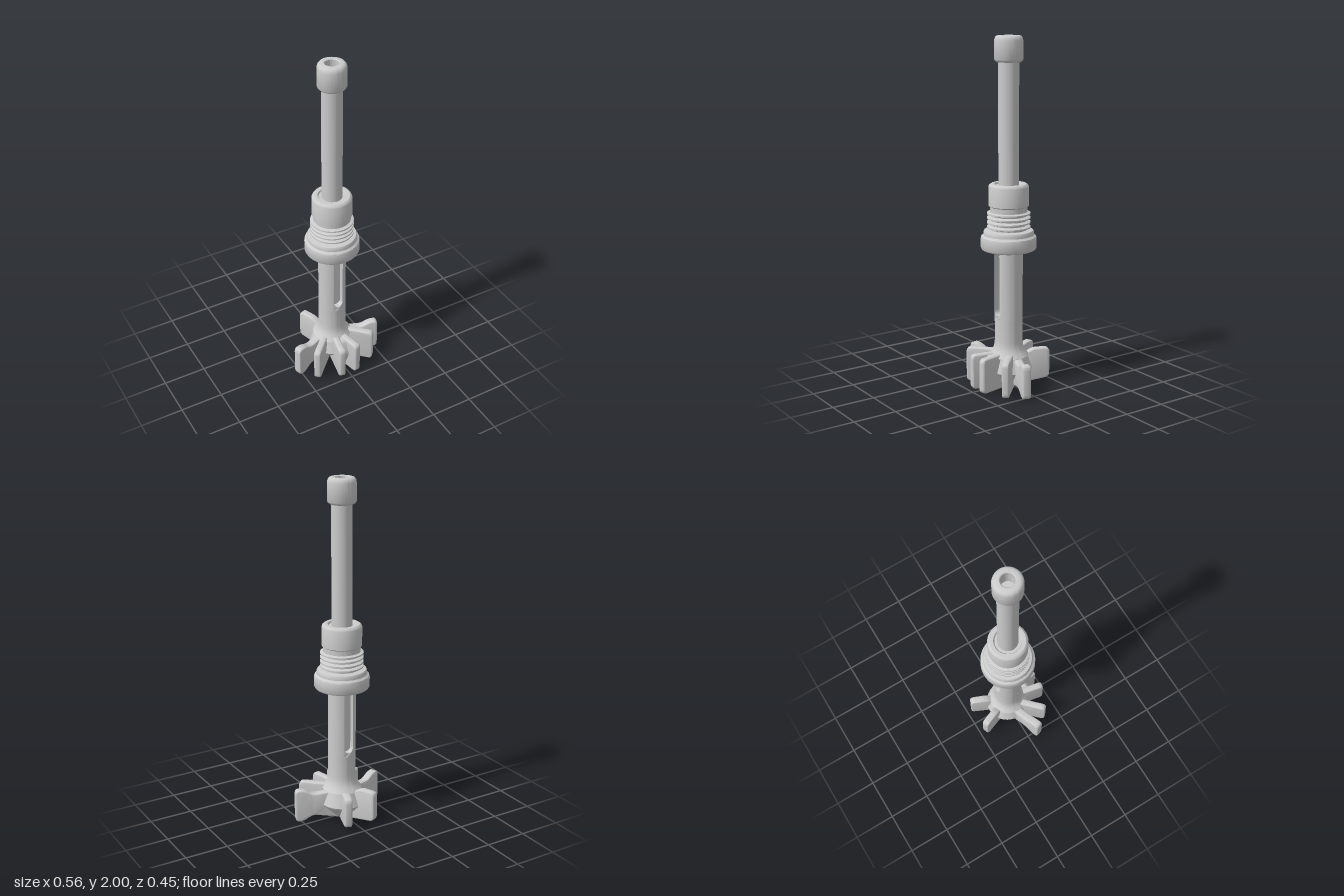
import * as THREE from 'three';
import { toCreasedNormals } from 'three/addons/utils/BufferGeometryUtils.js';

const material = new THREE.MeshStandardMaterial({ color: 0xcccccc, roughness: 0.7 });

function add(parent, name, geometry, crease = 0.6) {
  const mesh = new THREE.Mesh(toCreasedNormals(geometry, crease), material);
  mesh.name = name;
  parent.add(mesh);
  return mesh;
}

const lathe = (pairs, segments = 64) =>
  new THREE.LatheGeometry(pairs.map(([r, y]) => new THREE.Vector2(r, y)), segments);

// Closed outline with every corner rounded by up to the given radius
function roundedShape(pairs, radius) {
  const pts = pairs.map(([x, y]) => new THREE.Vector2(x, y));
  const shape = new THREE.Shape();
  pts.forEach((p, i) => {
    const prev = pts[(i + pts.length - 1) % pts.length];
    const next = pts[(i + 1) % pts.length];
    const toward = (q) => p.clone().lerp(q, Math.min(0.45, radius / p.distanceTo(q)));
    const a = toward(prev), b = toward(next);
    if (i === 0) shape.moveTo(a.x, a.y);
    else shape.lineTo(a.x, a.y);
    shape.quadraticCurveTo(p.x, p.y, b.x, b.y);
  });
  shape.closePath();
  return shape;
}

// Vertical blade reaching out along +x, with softened edges
function finGeometry(outline, thickness) {
  const bevel = 0.009;
  const geometry = new THREE.ExtrudeGeometry(roundedShape(outline, 0.028), {
    depth: thickness - 2 * bevel, curveSegments: 6,
    bevelThickness: bevel, bevelSize: bevel, bevelOffset: -bevel, bevelSegments: 3,
  });
  return geometry.translate(0, 0, bevel - thickness / 2);
}

// Stem wall around a long rounded slot, bent to the stem's radius
function slotPlate(radius, half, y0, y1, floor) {
  const shape = new THREE.Shape();
  const steps = 10;
  for (let i = 0; i <= steps; i++) {
    const x = -half + (2 * half * i) / steps;
    if (i === 0) shape.moveTo(x, y0);
    else shape.lineTo(x, y0);
  }
  for (let i = 0; i <= steps; i++) shape.lineTo(half - (2 * half * i) / steps, y1);
  const slot = new THREE.Path(), r = 0.029;
  slot.absarc(0, 0.765, r, 0, Math.PI, false);
  slot.absarc(0, 0.452, r, Math.PI, 2 * Math.PI, false);
  slot.closePath();
  shape.holes.push(slot);
  const geometry = new THREE.ExtrudeGeometry(shape, { depth: 1, bevelEnabled: false, curveSegments: 12 });
  const p = geometry.attributes.position;
  for (let i = 0; i < p.count; i++) {
    const x = p.getX(i);
    p.setZ(i, p.getZ(i) > 0.5 ? Math.sqrt(radius * radius - x * x) : floor);
  }
  return geometry;
}

export function createModel() {
  const model = new THREE.Group();
  model.name = 'spindleTool';

  // Upper rod and hollow end cap
  add(model, 'upperRod', lathe([[0, 1.1], [0.058, 1.1], [0.058, 1.88], [0, 1.88]]));
  add(model, 'endCap', lathe([
    [0, 1.855], [0.066, 1.855], [0.074, 1.86], [0.08, 1.87], [0.08, 1.972], [0.077, 1.986],
    [0.07, 1.996], [0.06, 2], [0.042, 2], [0.038, 1.996], [0.038, 1.9], [0, 1.9],
  ]));

  // Collar, thread and flange
  add(model, 'collar', lathe([
    [0, 1.01], [0.106, 1.01], [0.106, 1.052], [0.114, 1.058], [0.114, 1.165],
    [0.11, 1.175], [0.1, 1.182], [0.08, 1.182], [0.074, 1.172], [0.055, 1.172],
  ]));
  const thread = [[0, 0.9], [0.102, 0.9]];
  for (let i = 0; i < 4; i++) {
    const y = 0.936 + i * 0.026;
    thread.push([0.102, y - 0.011], [0.123, y - 0.004], [0.123, y + 0.004], [0.102, y + 0.011]);
  }
  thread.push([0.102, 1.03], [0, 1.03]);
  add(model, 'thread', lathe(thread), 0.3);
  add(model, 'flange', lathe([
    [0, 0.803], [0.14, 0.803], [0.152, 0.808], [0.158, 0.818], [0.158, 0.872], [0.155, 0.882],
    [0.148, 0.887], [0.143, 0.892], [0.143, 0.908], [0.138, 0.917], [0.126, 0.92], [0, 0.92],
  ]));

  // Lower stem: plain below, grooved front and back above
  const R = 0.08, half = 0.032, floor = 0.045, y0 = 0.4, y1 = 0.81;
  add(model, 'lowerStem', lathe([
    [0, 0.15], [0.115, 0.185], [0.1, 0.205], [0.088, 0.225], [0.082, 0.25], [R, 0.275], [R, y0], [0, y0],
  ]));
  const section = new THREE.Shape();
  const edge = Math.acos(half / R);
  for (const side of [0, Math.PI]) {
    for (let i = 0; i <= 24; i++) {
      const a = side - edge + (2 * edge * i) / 24;
      const x = R * Math.cos(a), y = R * Math.sin(a);
      if (side === 0 && i === 0) section.moveTo(x, y);
      else section.lineTo(x, y);
    }
    const s = side === 0 ? 1 : -1;
    section.lineTo(s * half, s * floor);
    section.lineTo(-s * half, s * floor);
  }
  section.closePath();
  add(model, 'groovedStem', new THREE.ExtrudeGeometry(section, { depth: y1 - y0, bevelEnabled: false })
    .rotateX(-Math.PI / 2).translate(0, y0, 0));
  for (const turn of [0, Math.PI]) {
    add(model, turn ? 'backSlot' : 'frontSlot', slotPlate(R, half, y0, y1, floor)).rotation.y = turn;
  }

  // Hub: double cone between the fins
  const hub = add(model, 'hub', lathe([
    [0, 0.004], [0.05, 0.01], [0.125, 0.09], [0.13, 0.1], [0.125, 0.115], [0.1, 0.19], [0, 0.21],
  ], 48));
  hub.position.z = -0.005;

  // Fins: mirrored pairs, each with its tip direction, start z and outline
  const straight = (length) => [[0, 0.003], [length, 0.003], [length, 0.207], [0, 0.207]];
  const fins = [
    { name: 'frontFin', dx: 0.052, dz: 0.255, z: -0.03, t: 0.04, outline: straight(0.26) },
    { name: 'frontSideFin', dx: 0.192, dz: 0.19, z: -0.03, t: 0.04, outline: straight(0.272) },
    { name: 'sideFin', dx: 0.275, dz: 0.098, z: -0.03, t: 0.048, outline: [
      [0, 0.005], [0.09, 0.02], [0.19, 0.04], [0.245, 0.004], [0.294, 0.004],
      [0.294, 0.2], [0.245, 0.2], [0.19, 0.168], [0.09, 0.18], [0, 0.2]] },
    { name: 'backFin', dx: 0.089, dz: -0.22, z: 0, t: 0.044, outline: [
      [0, 0.003], [0.09, 0.01], [0.24, 0.032], [0.24, 0.21], [0.14, 0.21], [0.09, 0.18], [0, 0.18]] },
  ];
  for (const { name, dx, dz, z, t, outline } of fins) {
    for (const [side, s] of [['left', 1], ['right', -1]]) {
      const fin = add(model, side + name[0].toUpperCase() + name.slice(1), finGeometry(outline, t));
      fin.position.z = z;
      fin.rotation.y = Math.atan2(-dz, s * dx);
    }
  }

  // Web joining the two front fins
  const web = add(model, 'frontWeb', new THREE.ExtrudeGeometry(
    roundedShape([[0, 0.03], [0.14, 0.03], [0.166, 0.09], [0.166, 0.13], [0.14, 0.2], [0, 0.2]], 0.02),
    { depth: 0.06, bevelEnabled: false, curveSegments: 6 }).translate(0, 0, -0.03));
  web.rotation.y = -Math.PI / 2;

  return model;
}
